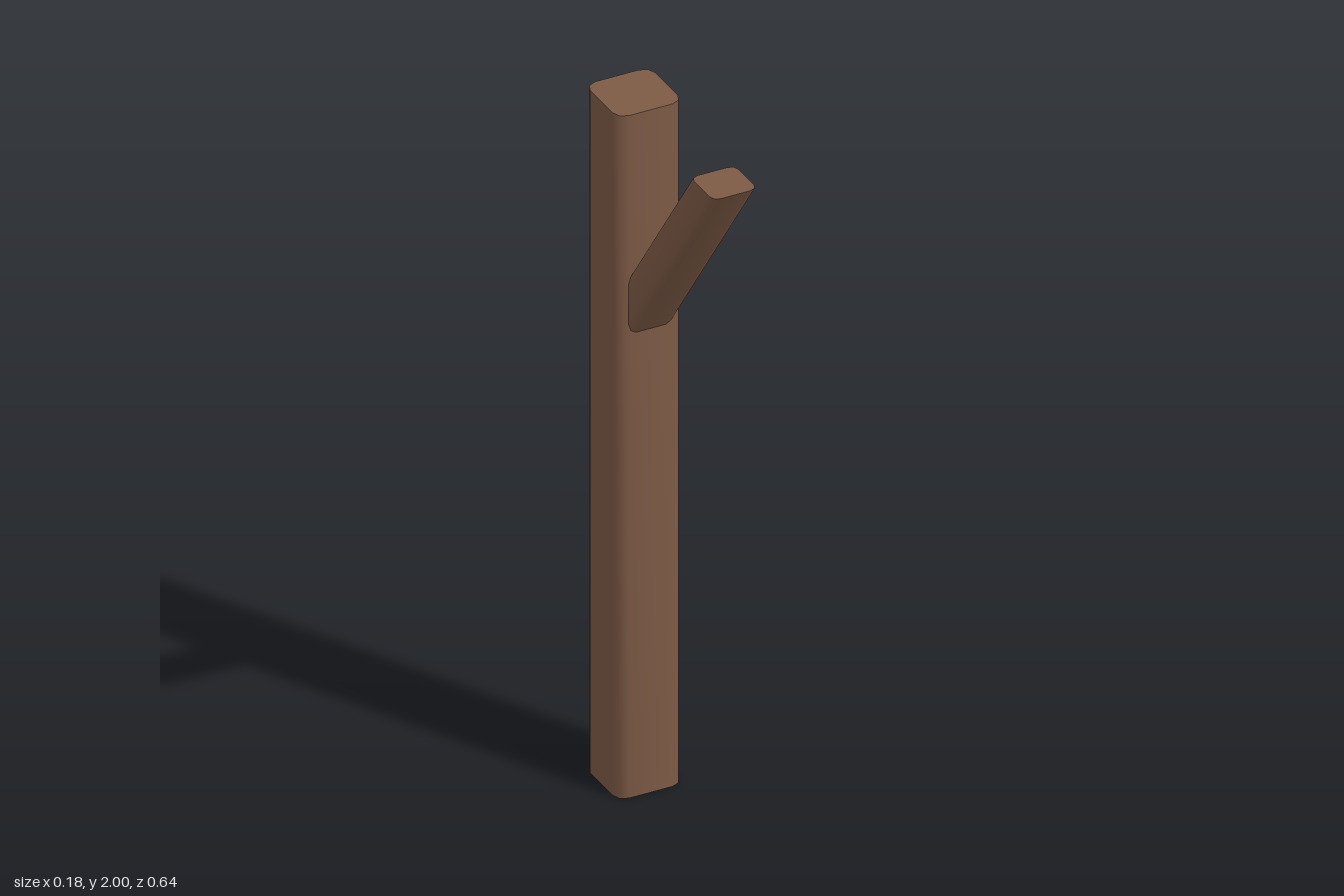
import * as THREE from 'three';
import { toCreasedNormals } from 'three/addons/utils/BufferGeometryUtils.js';

// Upright beam on y = 0 with a square section whose corners are rounded in two steps
function beam(half, radius, length) {
  const points = [];
  for (let corner = 0; corner < 4; corner++) {
    const start = corner * Math.PI / 2;
    const mid = start + Math.PI / 4;
    const cx = Math.sign(Math.cos(mid)) * (half - radius);
    const cy = Math.sign(Math.sin(mid)) * (half - radius);
    for (let i = 0; i <= 2; i++) {
      const a = start + i * Math.PI / 4;
      points.push(new THREE.Vector2(cx + radius * Math.cos(a), cy + radius * Math.sin(a)));
    }
  }
  const geometry = new THREE.ExtrudeGeometry(new THREE.Shape(points), { depth: length, bevelEnabled: false });
  return geometry.rotateX(-Math.PI / 2);
}

export function createModel() {
  const group = new THREE.Group();
  const wood = new THREE.MeshStandardMaterial({ color: 0x7d5a45 });
  const add = (name, geometry) => {
    const mesh = new THREE.Mesh(toCreasedNormals(geometry, 0.9), wood);
    mesh.name = name;
    group.add(mesh);
  };

  // Tall post at the back
  add('post', beam(0.092, 0.031, 2).translate(0, 0, -0.231));

  // Slanted brace: level cut at the top, lower end cut flush with the post's front face
  const postFront = -0.139, slope = 1.392;
  const brace = beam(0.063, 0.021, 2).translate(0, 0, 0.258);
  const p = brace.attributes.position;
  for (let i = 0; i < p.count; i++) {
    if (p.getY(i) > 1) continue;
    p.setY(i, 2 - (p.getZ(i) - postFront) * slope);
    p.setZ(i, postFront);
  }
  add('brace', brace);

  return group;
}
